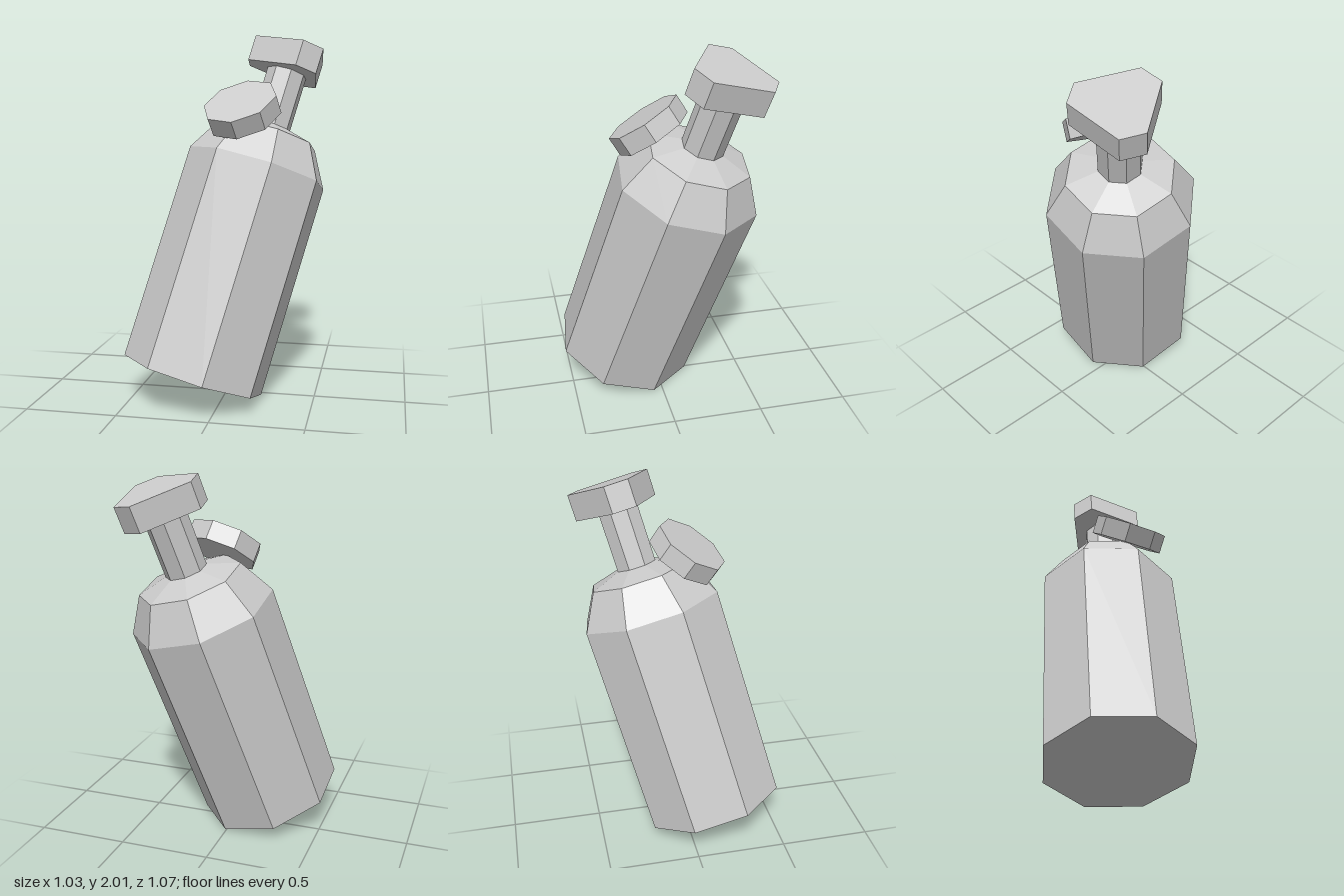
import * as THREE from 'three';

const UP = new THREE.Vector3(0, 1, 0);
const rad = THREE.MathUtils.degToRad;
const material = new THREE.MeshStandardMaterial({ color: 0xcccccc, flatShading: true });

function addMesh(parent, name, geometry) {
  const mesh = new THREE.Mesh(geometry, material);
  mesh.name = name;
  parent.add(mesh);
  return mesh;
}

// A group whose local y axis points along the given direction
function leaningGroup(name, origin, direction) {
  const group = new THREE.Group();
  group.name = name;
  group.position.set(...origin);
  group.quaternion.setFromUnitVectors(UP, new THREE.Vector3(...direction).normalize());
  return group;
}

// Eight-sided prism between two heights
function octagonPrism(radius, y0, y1, turn) {
  const g = new THREE.CylinderGeometry(radius, radius, y1 - y0, 8, 1, false, rad(turn));
  return g.translate(0, (y0 + y1) / 2, 0);
}

export function createModel() {
  const model = new THREE.Group();
  model.name = 'gasCylinder';

  const bottle = leaningGroup('bottle', [-0.157, 0.14, 0.162], [0.253, 0.935, -0.248]);
  model.add(bottle);

  // Tank with a faceted shoulder
  const profile = [[0, 0], [0.4, 0], [0.4, 1.21], [0.286, 1.408], [0.115, 1.46], [0, 1.46]]
    .map(([r, y]) => new THREE.Vector2(r, y));
  addMesh(bottle, 'tank', new THREE.LatheGeometry(profile, 8, rad(18)));

  // Neck, in line with the tank's facets
  addMesh(bottle, 'neck', octagonPrism(0.115, 1.44, 1.8, 18));

  // Valve knob: a triangle with its corners cut off
  const outline = [];
  for (let i = 0; i < 3; i++) {
    for (const side of [-16.2, 16.2]) {
      const a = rad(33.5 + 120 * i + side);
      outline.push(new THREE.Vector2(0.235 * Math.sin(a), -0.235 * Math.cos(a)));
    }
  }
  const knob = new THREE.ExtrudeGeometry(new THREE.Shape(outline), { depth: 0.145, bevelEnabled: false });
  knob.rotateX(-Math.PI / 2).translate(0, 1.78, 0);
  addMesh(bottle, 'valveKnob', knob);

  // Gauge disc resting on the front of the shoulder
  const gauge = leaningGroup('gauge', [0.086, 1.65, 0.087], [-0.191, 0.838, 0.511]);
  addMesh(gauge, 'gaugeDisc', octagonPrism(0.207, -0.107, 0, -7));
  model.add(gauge);

  return model;
}
